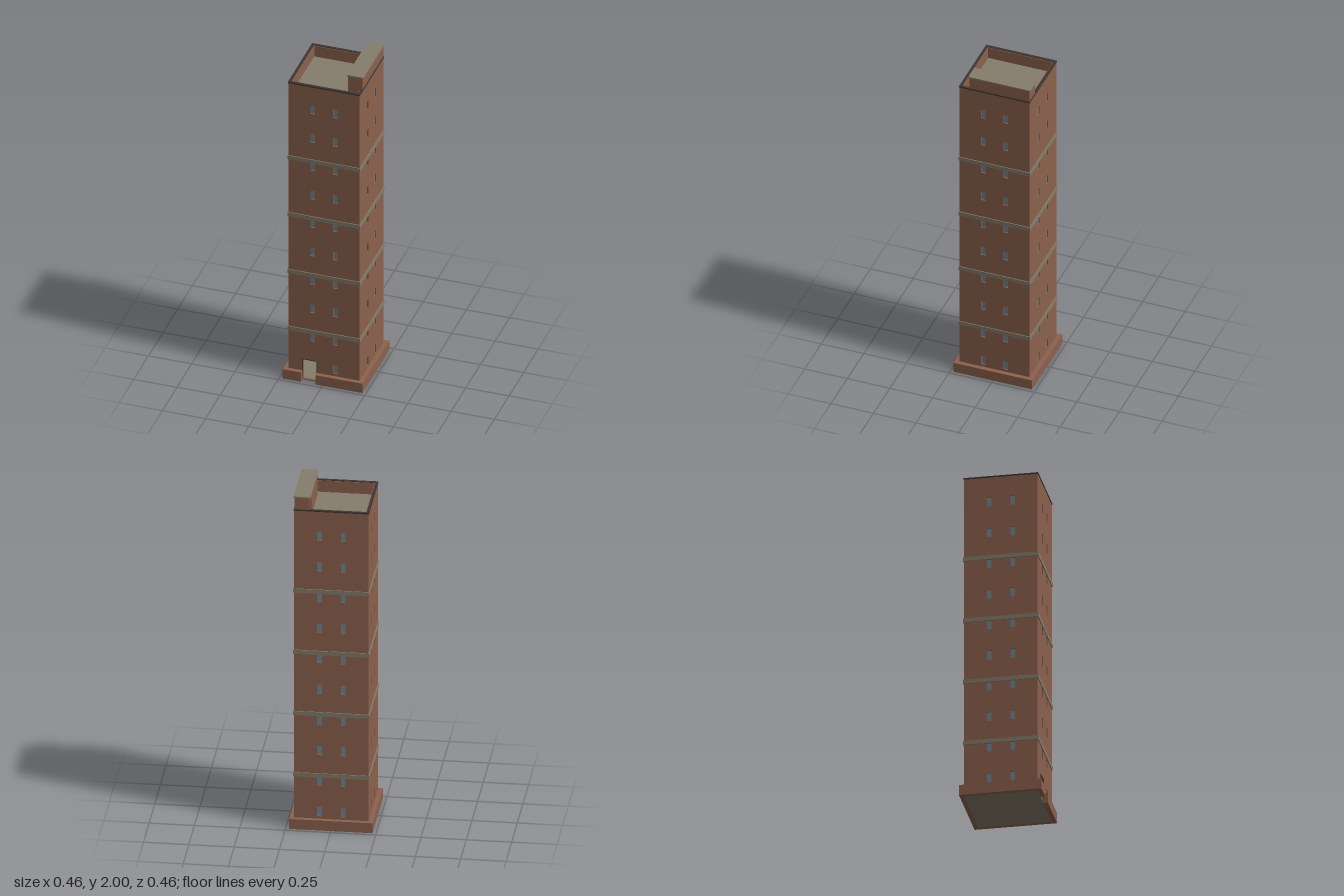
import * as THREE from 'three';

const paint = (name, color) => Object.assign(new THREE.MeshStandardMaterial({ color }), { name });

export function createModel() {
  const brick = paint('brick', 0x8c614d);
  const stone = paint('stone', 0x857c6b);
  const glass = paint('glass', 0x6f8791);
  const dark = paint('darkTrim', 0x3f3633);
  const tower = new THREE.Group();
  tower.name = 'tower';

  const H = 0.205, T = 0.016, TOP = 1.918, ROOF = 1.85;
  const winX = [-0.066, 0.066], winW = 0.026, winH = 0.055;
  const door = { x0: -0.122, x1: -0.042, y0: 0.008, y1: 0.134 };

  // box given by its min and max corners
  function box(name, mat, x0, x1, y0, y1, z0, z1, parent = tower) {
    const m = new THREE.Mesh(new THREE.BoxGeometry(x1 - x0, y1 - y0, z1 - z0), mat);
    m.position.set((x0 + x1) / 2, (y0 + y1) / 2, (z0 + z1) / 2);
    m.name = name;
    parent.add(m);
    return m;
  }
  function rect(Type, x0, x1, y0, y1) {
    const p = new Type();
    p.moveTo(x0, y0);
    p.lineTo(x1, y0);
    p.lineTo(x1, y1);
    p.lineTo(x0, y1);
    p.closePath();
    return p;
  }
  function panel(name, shape, depth) {
    const m = new THREE.Mesh(new THREE.ExtrudeGeometry(shape, { depth, bevelEnabled: false }), brick);
    m.name = name;
    return m;
  }
  // square ring lying flat
  function ring(name, mat, outer, inner, y0, y1) {
    const s = rect(THREE.Shape, -outer, outer, -outer, outer);
    s.holes.push(rect(THREE.Path, -inner, inner, -inner, inner));
    const m = new THREE.Mesh(new THREE.ExtrudeGeometry(s, { depth: y1 - y0, bevelEnabled: false }), mat);
    m.rotation.x = -Math.PI / 2;
    m.position.y = y0;
    m.name = name;
    tower.add(m);
  }

  // four hollow walls with pierced windows and recessed panes
  ['front', 'left', 'back', 'right'].forEach((side, i) => {
    const wall = new THREE.Group();
    wall.name = side + 'Wall';
    wall.rotation.y = i * Math.PI / 2;
    const w = i % 2 ? H - T : H;
    const s = rect(THREE.Shape, -w, w, 0.006, TOP);
    for (let row = 0; row < 10; row++) {
      const y = 0.102 + row * 0.185;
      for (const x of winX) {
        if (i === 0 && row === 0 && x < 0) continue; // doorway stands here
        s.holes.push(rect(THREE.Path, x - winW / 2, x + winW / 2, y - winH / 2, y + winH / 2));
        box('windowPane', glass, x - winW / 2, x + winW / 2, y - winH / 2, y + winH / 2, H - 0.011, H - 0.007, wall);
      }
    }
    if (i === 0) s.holes.push(rect(THREE.Path, door.x0, door.x1, door.y0, door.y1));
    const m = panel('brickwork', s, T);
    m.position.z = H - T;
    wall.add(m);
    tower.add(wall);
  });

  // doorway trim
  const e = 0.004;
  box('doorLintel', dark, door.x0 - e, door.x1 + e, door.y1, door.y1 + e, H - 0.002, H + 0.004);
  box('doorJamb', dark, door.x0 - e, door.x0, 0.006, door.y1, H - 0.002, H + 0.004);
  box('doorJamb', dark, door.x1, door.x1 + e, 0.006, door.y1, H - 0.002, H + 0.004);

  // ground slab, storey bands and roof
  box('groundSlab', stone, -H, H, 0, 0.006, -H, H);
  for (let i = 0; i < 4; i++) {
    const y = 0.322 + i * 0.37, b = 0.21;
    box('storeyBand', stone, -b, b, y - 0.012, y + 0.012, -b, b);
  }
  box('roof', stone, -0.195, 0.195, ROOF - 0.02, ROOF, -0.195, 0.195);
  ring('parapetCoping', dark, 0.208, 0.193, TOP - 0.004, TOP + 0.004);

  // plinth, left open at the doorway
  const P = 0.23, pl = new THREE.Shape();
  [[-P, P], [-P, -P], [door.x0 - 0.002, -P], [door.x0 - 0.002, -H], [-H, -H], [-H, H], [H, H], [H, -H],
    [door.x1, -H], [door.x1, -P], [P, -P], [P, P]].forEach(([x, y], k) => (k ? pl.lineTo(x, y) : pl.moveTo(x, y)));
  const plinth = panel('plinth', pl, 0.06);
  plinth.rotation.x = -Math.PI / 2;
  tower.add(plinth);

  // stair house on the roof with a door opening facing the terrace
  const stair = new THREE.Group();
  stair.name = 'stairHouse';
  const x0 = 0.12, x1 = 0.2045, z0 = -0.2045, z1 = 0.148, t = 0.008, top = 1.992;
  box('outerWall', brick, x1 - t, x1, ROOF, top, z0, z1, stair);
  box('frontWall', brick, x0 + t, x1 - t, ROOF, top, z1 - t, z1, stair);
  box('backWall', brick, x0 + t, x1 - t, ROOF, top, z0, z0 + t, stair);
  const inner = rect(THREE.Shape, z0, z1, ROOF, top);
  inner.holes.push(rect(THREE.Path, -0.18, -0.12, ROOF + 0.002, ROOF + 0.115));
  const innerWall = panel('terraceWall', inner, t);
  innerWall.rotation.y = -Math.PI / 2;
  innerWall.position.x = x0 + t;
  stair.add(innerWall);
  box('stairHouseCap', stone, 0.115, 0.2085, top, 2, -0.21, 0.153, stair);
  tower.add(stair);

  return tower;
}
